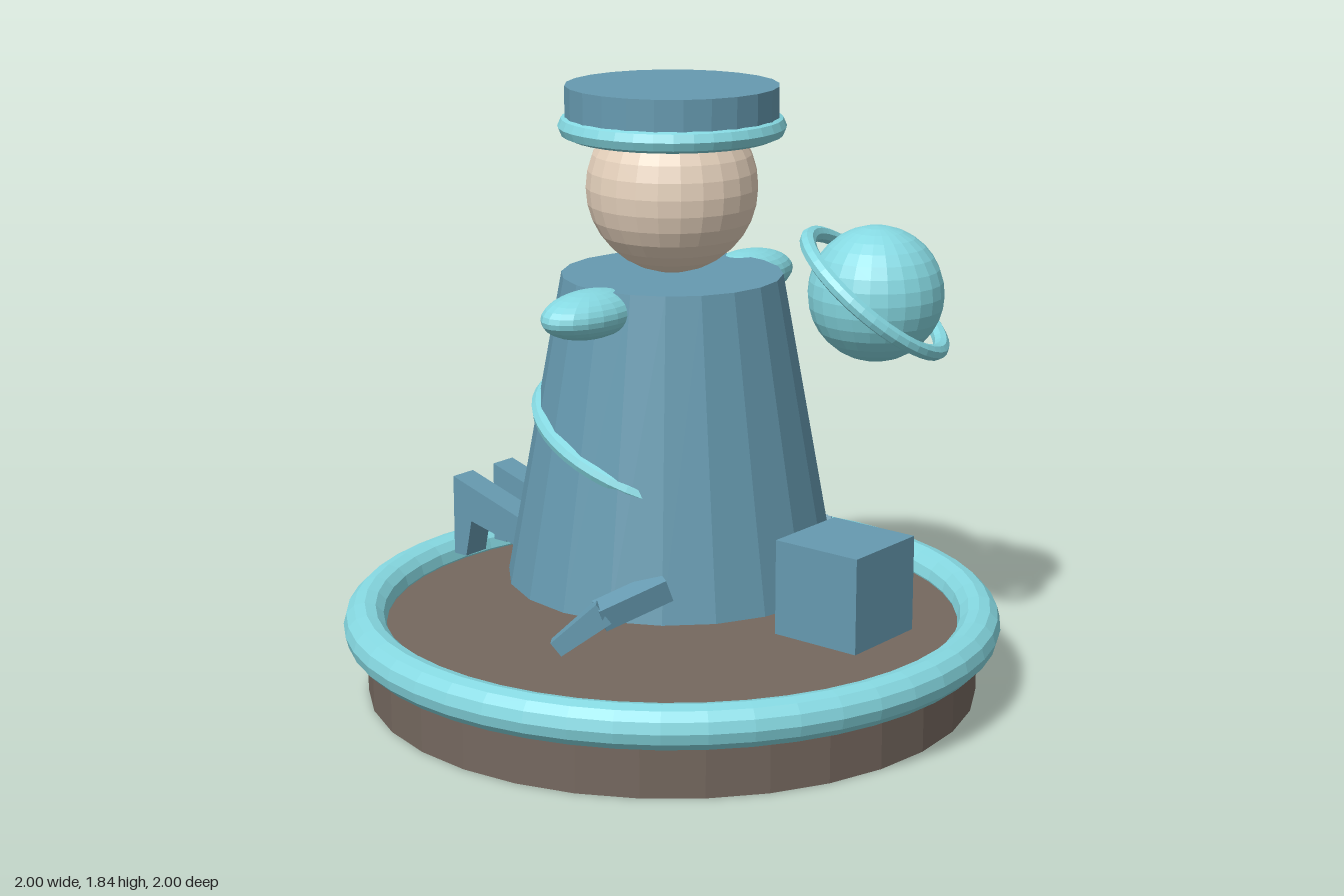
import * as THREE from 'three';

const paint = (name, color) => {
  const m = new THREE.MeshStandardMaterial({ color, flatShading: true });
  m.name = name;
  return m;
};

export function createModel() {
  const blue = paint('dusty blue', 0x669ab0);
  const teal = paint('pale teal', 0x86d9e2);
  const skin = paint('skin', 0xe6d2bd);
  const brown = paint('base brown', 0x75685f);

  const model = new THREE.Group();
  model.name = 'figurine';
  const add = (name, geometry, material, x = 0, y = 0, z = 0) => {
    const mesh = new THREE.Mesh(geometry, material);
    mesh.name = name;
    mesh.position.set(x, y, z);
    model.add(mesh);
    return mesh;
  };
  // Torus lying flat around the y axis
  const hoop = (radius, tube, sides, segments) =>
    new THREE.TorusGeometry(radius, tube, sides, segments).rotateX(Math.PI / 2);

  // Round base with its rim
  add('base', new THREE.CylinderGeometry(0.93, 0.93, 0.21, 32), brown, 0, 0.105, 0);
  add('baseRim', hoop(0.935, 0.065, 12, 48), teal, 0, 0.215, 0);

  // Robe and slanted sash
  add('robe', new THREE.CylinderGeometry(0.33, 0.5, 0.93, 20), blue, 0, 0.815, 0);
  add('sash', hoop(0.41, 0.026, 8, 48), teal, 0, 0.78, 0).rotation.x = 0.35;

  // Head and cap
  add('head', new THREE.SphereGeometry(0.255, 24, 16), skin, 0, 1.54, 0);
  add('cap', new THREE.CylinderGeometry(0.315, 0.315, 0.12, 24), blue, 0, 1.78, 0);
  add('capBrim', hoop(0.302, 0.034, 8, 36), teal, 0, 1.72, 0);

  // Ringed orb
  add('orb', new THREE.SphereGeometry(0.21, 24, 16), teal, 0.575, 1.165, 0.335);
  add('orbRing', hoop(0.265, 0.025, 8, 40), teal, 0.573, 1.167, 0.333)
    .quaternion.setFromUnitVectors(
      new THREE.Vector3(0, 1, 0),
      new THREE.Vector3(0.28, 0.77, 0.56).normalize());

  // Small animal under the robe
  add('animalHead', new THREE.BoxGeometry(0.285, 0.285, 0.285), blue, 0, 0.443, 0.645);
  add('animalNeck', new THREE.BoxGeometry(0.08, 0.1, 0.16), blue, 0, 0.43, 0.44);
  add('animalBody', new THREE.BoxGeometry(0.24, 0.12, 0.9), blue, 0, 0.388, -0.03);

  // Four-sided tapered limb between two points
  const limb = (name, a, b, ra, rb) => {
    const from = new THREE.Vector3(...a), to = new THREE.Vector3(...b);
    const dir = to.clone().sub(from);
    const mesh = add(name, new THREE.CylinderGeometry(rb, ra, dir.length(), 4), blue);
    mesh.position.copy(from).add(to).multiplyScalar(0.5);
    mesh.quaternion.setFromUnitVectors(new THREE.Vector3(0, 1, 0), dir.normalize());
  };

  // Side profile of a hind leg, as distance back and height
  const hindShape = new THREE.Shape([
    [0.4, 0.33], [0.71, 0.4], [0.735, 0.28], [0.785, 0.28], [0.785, 0.535], [0.4, 0.42],
  ].map(([back, y]) => new THREE.Vector2(back, y)));

  for (const [side, s] of [['left', 1], ['right', -1]]) {
    const arm = add(side + 'Arm', new THREE.SphereGeometry(1, 20, 14), teal, s * 0.37, 1.22, 0);
    arm.scale.set(0.18, 0.07, 0.105);

    limb(side + 'FrontThigh', [s * 0.37, 0.46, 0.28], [s * 0.53, 0.385, 0.165], 0.05, 0.05);
    limb(side + 'FrontShin', [s * 0.52, 0.4, 0.175], [s * 0.61, 0.29, 0.07], 0.05, 0.035);

    const hind = new THREE.ExtrudeGeometry(hindShape, { depth: 0.09, bevelEnabled: false });
    hind.rotateY(Math.PI / 2).translate(-0.045, 0, 0);
    add(side + 'HindLeg', hind, blue, s * 0.093, 0, 0);
  }
  return model;
}
